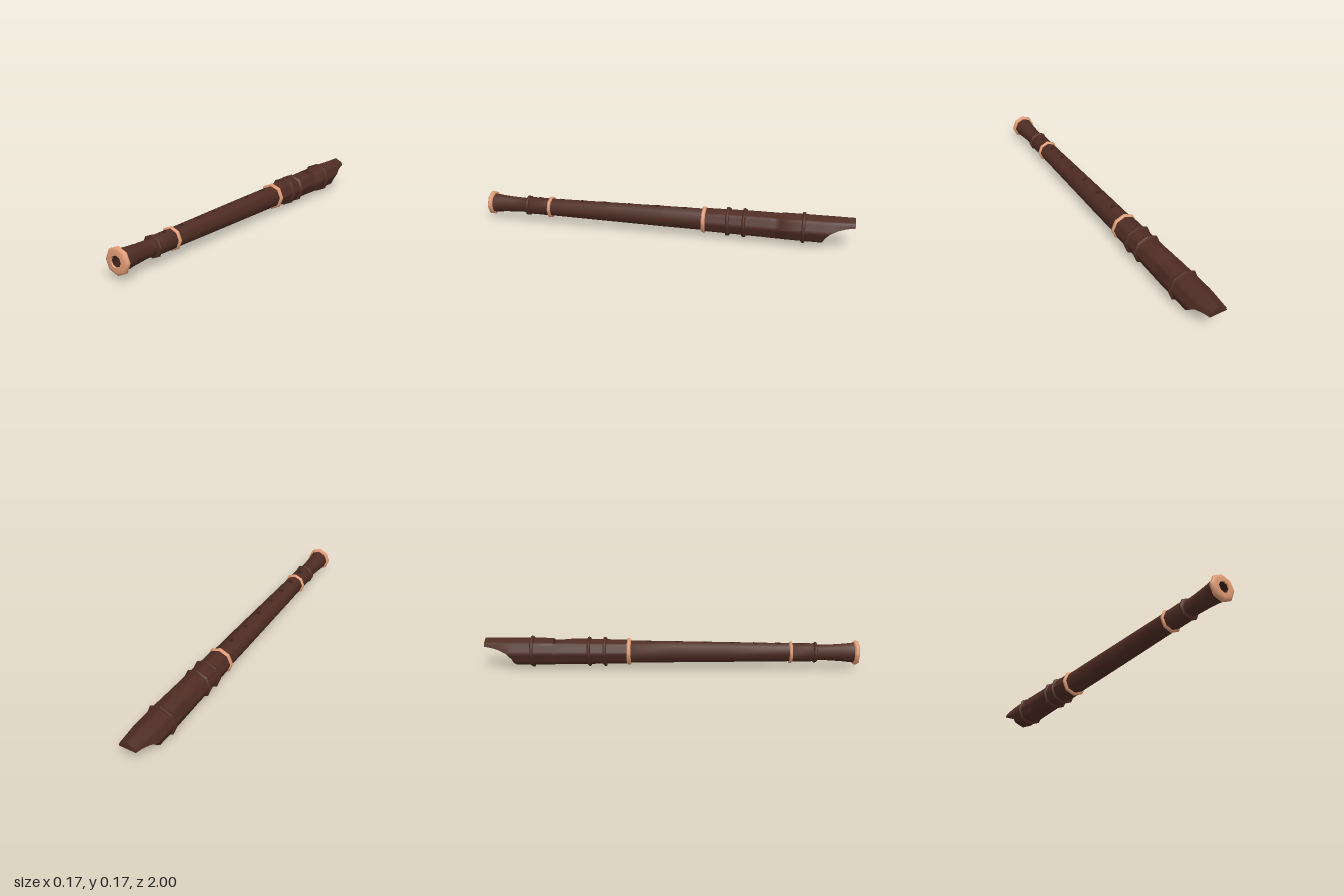
import * as THREE from 'three';
import { toCreasedNormals } from 'three/addons/utils/BufferGeometryUtils.js';

const AXIS = 0.086; // height of the bore axis
const CREASE = 0.9;

const mat = (name, color, side = THREE.FrontSide) => {
  const m = new THREE.MeshStandardMaterial({ color, side });
  m.name = name;
  return m;
};

export function createModel() {
  const group = new THREE.Group();
  const wood = mat('dark wood', 0x4e2c23);
  const trim = mat('tan trim', 0xe09c76);
  const inner = mat('hole wood', 0x3a2019, THREE.DoubleSide);
  const dark = mat('bore shadow', 0x2b2b2b);

  const add = (name, geo, material) => {
    const m = new THREE.Mesh(geo, material);
    m.name = name;
    group.add(m);
    return m;
  };

  // Turned part along z; profile is [radius, z] with z rising
  const turn = (name, profile, material, sides = 8) => {
    const g = new THREE.LatheGeometry(profile.map(([r, z]) => new THREE.Vector2(r, z)), sides);
    g.rotateX(Math.PI / 2);
    g.translate(0, AXIS, 0);
    return add(name, toCreasedNormals(g, CREASE), material);
  };

  // Rounded bead around the tube
  const bead = (name, z, r, half, base, material) => turn(name, [
    [base, z - half], [r - half * 0.4, z - half * 0.85], [r, z - half * 0.35],
    [r, z + half * 0.35], [r - half * 0.4, z + half * 0.85], [base, z + half],
  ], material);

  // Middle joint and foot joint
  turn('middleJoint', [[0.061, -0.23], [0.059, 0], [0.055, 0.3], [0.05, 0.64]], wood);
  turn('footJoint', [[0.051, 0.64], [0.05, 0.75], [0.045, 0.765], [0.042, 0.78],
    [0.044, 0.85], [0.049, 0.92], [0.056, 0.985]], wood);

  // Beads and trim rings
  bead('headBead', -0.745, 0.086, 0.01, 0.068, wood);
  bead('upperSocketBead', -0.44, 0.081, 0.01, 0.064, wood);
  bead('lowerSocketBead', -0.355, 0.081, 0.01, 0.062, wood);
  bead('footBead', 0.768, 0.057, 0.01, 0.04, wood);
  bead('headTrimRing', -0.227, 0.074, 0.012, 0.055, trim);
  bead('footTrimRing', 0.638, 0.061, 0.009, 0.045, trim);
  turn('footEndRing', [[0.05, 0.972], [0.062, 0.974], [0.067, 0.98], [0.067, 0.99],
    [0.061, 0.997], [0.05, 1], [0.03, 1], [0.027, 0.995]], trim);

  // Bore
  turn('bore', [[0.027, 0.9], [0.027, 0.996]], inner, 16);
  const plug = add('boreEnd', new THREE.CircleGeometry(0.028, 16), dark);
  plug.position.set(0, AXIS, 0.9);

  // Finger holes: thin discs folded over the top ridge
  const bodyRadius = z => (z < 0 ? 0.059 - z * 0.009 : z < 0.3 ? 0.059 - z * 0.0133
    : z < 0.64 ? 0.055 - (z - 0.3) * 0.0147 : 0.0508);
  for (const z of [-0.12, 0.03, 0.18, 0.325, 0.45, 0.57, 0.695]) {
    const g = new THREE.CircleGeometry(0.014, 16);
    g.rotateX(-Math.PI / 2);
    const p = g.attributes.position;
    for (let i = 0; i < p.count; i++) p.setY(i, -Math.abs(p.getX(i)) * 0.414);
    g.computeVertexNormals();
    add('fingerHole', g, inner).position.set(0, AXIS + bodyRadius(z) + 0.0015, z);
  }

  // Head joint: octagonal sections, trimmed above for the window and below for the beak
  // [z, radius, top limit, bottom limit, width factor]
  const sections = [
    [-0.23, 0.066], [-0.355, 0.068], [-0.44, 0.07], [-0.53, 0.071],
    [-0.56, 0.072, 0.152], [-0.6, 0.073, 0.144], [-0.63, 0.073, 0.138], [-0.631, 0.074],
    [-0.745, 0.075], [-0.84, 0.075], [-0.841, 0.075, 1, 0.014], [-0.846, 0.075, 1, 0.04],
    [-0.86, 0.075, 1, 0.065], [-0.885, 0.075, 1, 0.09, 0.98], [-0.92, 0.075, 1, 0.105, 0.91],
    [-0.96, 0.075, 1, 0.115, 0.83], [-1, 0.075, 1, 0.12, 0.76],
  ];
  const SUB = 4, N = 8 * SUB;
  const pos = [], idx = [];
  for (const [z, r, top = 1, floor = 0, sx = 1] of sections) {
    const drop = Math.abs(floor - AXIS);
    const floorWidth = Math.min(r - drop * 0.414, (r - drop) * 2.414);
    for (let j = 0; j < N; j++) {
      const a = Math.floor(j / SUB) * Math.PI / 4, b = a + Math.PI / 4, t = (j % SUB) / SUB;
      let x = r * THREE.MathUtils.lerp(Math.sin(a), Math.sin(b), t);
      let y = AXIS + r * THREE.MathUtils.lerp(Math.cos(a), Math.cos(b), t);
      y = Math.min(y, top);
      if (y < floor) {
        y = floor;
        x = Math.sign(x) * Math.min(Math.abs(x), floorWidth);
      }
      pos.push(x * sx, y, z);
    }
  }
  const last = (sections.length - 1) * N;
  for (let i = 0; i < last; i += N) {
    for (let j = 0; j < N; j++) {
      const k = (j + 1) % N;
      idx.push(i + j, i + k, i + N + j, i + k, i + N + k, i + N + j);
    }
  }
  // Flat tip of the beak
  pos.push(0, 0.135, -1);
  for (let j = 0; j < N; j++) idx.push(last + N, last + j, last + (j + 1) % N);
  const head = new THREE.BufferGeometry();
  head.setAttribute('position', new THREE.Float32BufferAttribute(pos, 3));
  head.setIndex(idx);
  add('headJoint', toCreasedNormals(head, CREASE), wood);

  return group;
}
